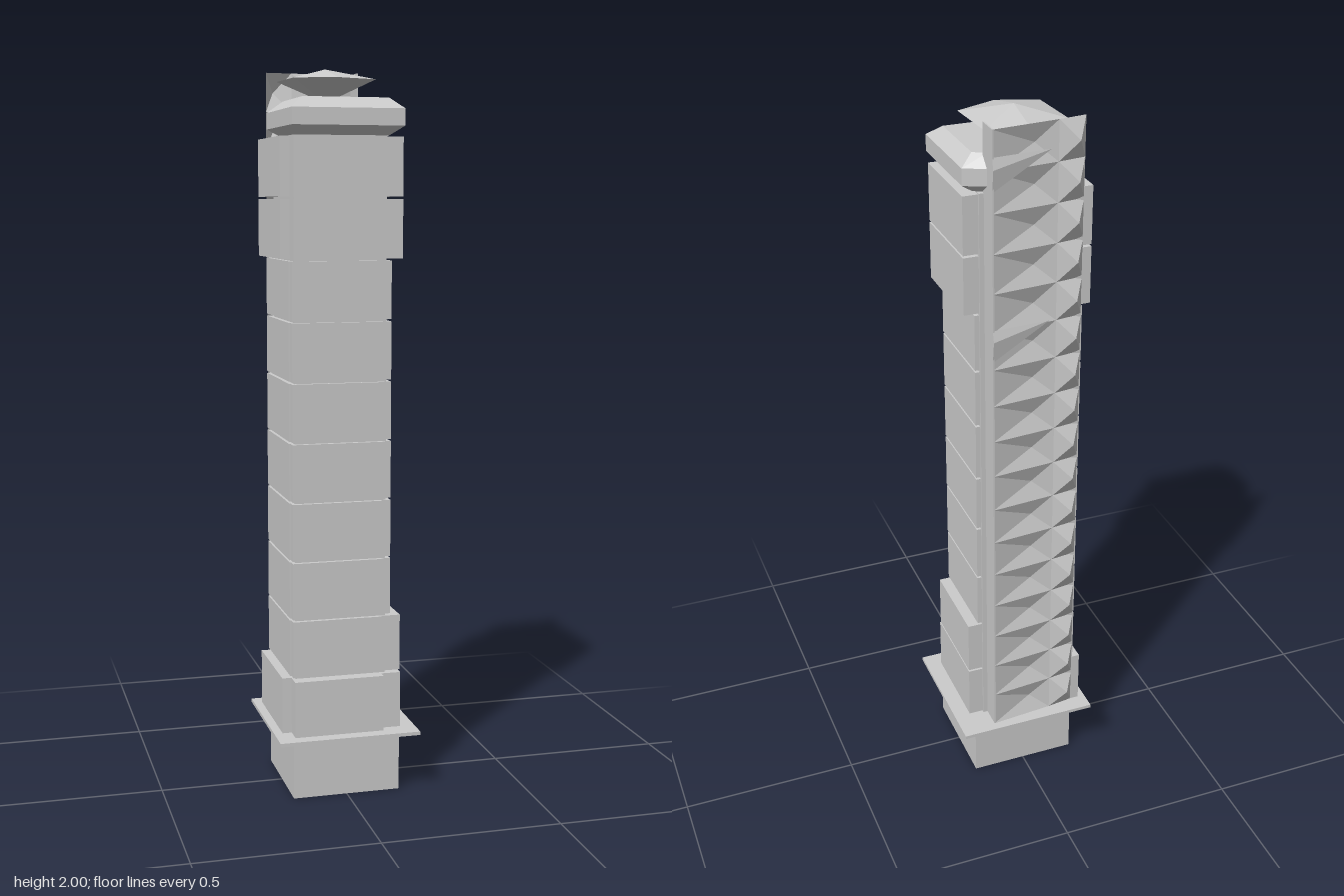
import * as THREE from 'three';

const grey = new THREE.MeshStandardMaterial({ color: 0xcccccc, flatShading: true, side: THREE.DoubleSide });

export function createModel() {
  const model = new THREE.Group();

  const add = (name, geometry) => {
    const mesh = new THREE.Mesh(geometry, grey);
    mesh.name = name;
    model.add(mesh);
    return mesh;
  };
  // Box given by its limits on each axis
  const box = (name, x0, x1, y0, y1, z0, z1) =>
    add(name, new THREE.BoxGeometry(x1 - x0, y1 - y0, z1 - z0))
      .position.set((x0 + x1) / 2, (y0 + y1) / 2, (z0 + z1) / 2);
  // Faceted surface from a list of triangles, each of three [x, y, z] corners
  const facets = (name, triangles) => {
    const g = new THREE.BufferGeometry();
    g.setAttribute('position', new THREE.Float32BufferAttribute(triangles.flat(2), 3));
    g.computeVertexNormals();
    return add(name, g);
  };
  // Triangles joining two rings of equal length
  const band = (low, high) => low.flatMap((p, i) => {
    const j = (i + 1) % low.length;
    return [[p, high[i], low[j]], [low[j], high[i], high[j]]];
  });
  // Triangles joining a ring to one point
  const fan = (ring, tip) => ring.map((p, i) => [p, tip, ring[(i + 1) % ring.length]]);

  // Hollow plinth and projecting slab
  const plinth = new THREE.Shape();
  plinth.moveTo(-0.152, -0.152).lineTo(0.152, -0.152).lineTo(0.152, 0.152).lineTo(-0.152, 0.152);
  const hole = new THREE.Path();
  hole.moveTo(-0.088, -0.088).lineTo(-0.088, 0.088).lineTo(0.088, 0.088).lineTo(0.088, -0.088);
  plinth.holes.push(hole);
  const plinthGeometry = new THREE.ExtrudeGeometry(plinth, { depth: 0.17, bevelEnabled: false });
  add('plinth', plinthGeometry.rotateX(-Math.PI / 2));
  box('plinthSlab', -0.2, 0.2, 0.17, 0.18, -0.2, 0.2);

  // Core, seen only in the grooves between the panels
  box('core', -0.143, 0.113, 0.18, 1.82, -0.115, 0.138);

  // Ten storeys of panels; the lowest and the top two stand further out
  const storeys = 10, base = 0.18, storeyHeight = 0.164;
  for (let i = 0; i < storeys; i++) {
    const y0 = base + i * storeyHeight + 0.003, y1 = y0 + storeyHeight - 0.006;
    const wide = i === 0 || i >= 8;
    const wideRight = wide || i === 1;
    box('frontPanel', -0.152, 0.1, y0, y1, 0.11, wide ? 0.173 : 0.15);
    box('sidePanelLeft', 0.08, wideRight ? 0.155 : 0.126, y0, y1, -0.11, wide ? 0.15 : 0.143);
    box('sidePanelRight', wide ? -0.178 : -0.156, -0.11, y0, y1, -0.153, 0.126);
  }

  // Studded back wall: a column of pyramids at the corner, a wide column of hollows beside it
  const rows = 17, wallTop = 2, step = (wallTop - base) / rows;
  const wall = [];
  const cell = (a, b, y0, y1, tip) => wall.push(...fan(
    [[a[0], y0, a[1]], [b[0], y0, b[1]], [b[0], y1, b[1]], [a[0], y1, a[1]]], tip));
  for (let i = 0; i < rows; i++) {
    const y0 = base + i * step, y1 = y0 + step, mid = (y0 + y1) / 2;
    cell([-0.155, -0.15], [-0.08, -0.16], y0, y1, [-0.13, mid, -0.18]);
    cell([-0.08, -0.16], [0.1, -0.175], y0, y1, [-0.02, mid, -0.148]);
  }
  facets('studdedBackWall', wall);
  box('backWallSide', 0.096, 0.1, base, wallTop, -0.175, -0.11);

  // Two sharp fins on the back wall
  for (const y of [1.42, 1.88]) {
    facets('backFin', fan(
      [[-0.06, y + 0.05, -0.165], [0.1, y + 0.05, -0.174], [0.1, y - 0.04, -0.174]], [0.1, y + 0.02, -0.182]));
  }

  // Sloping cap with a flat top
  const outline = [[-0.153, -0.153], [0.1, -0.138], [0.156, -0.112], [0.156, 0.161], [-0.153, 0.161]];
  const inner = [[-0.115, -0.115], [0.09, -0.11], [0.122, -0.09], [0.122, 0.122], [-0.115, 0.122]];
  const ring = (points, y) => points.map(([x, z]) => [x, y, z]);
  const foot = ring(inner, 1.82), eave = ring(outline, 1.845);
  const rim = ring(outline, 1.89), top = ring(inner, 1.92);
  facets('cap', [
    ...band(foot, eave), ...band(eave, rim), ...band(rim, top), ...fan(top, [0, 1.92, 0]),
  ]);

  // Six-sided faceted crown standing on its point
  const hexagon = [[-0.02, -0.138], [0.088, -0.09], [0.098, 0.078], [-0.02, 0.126], [-0.13, 0.086], [-0.14, -0.08]];
  const girdle = ring(hexagon, 1.97);
  facets('crown', [...fan(girdle, [-0.022, 2, -0.005]), ...fan([...girdle].reverse(), [-0.022, 1.91, 0])]);

  return model;
}
